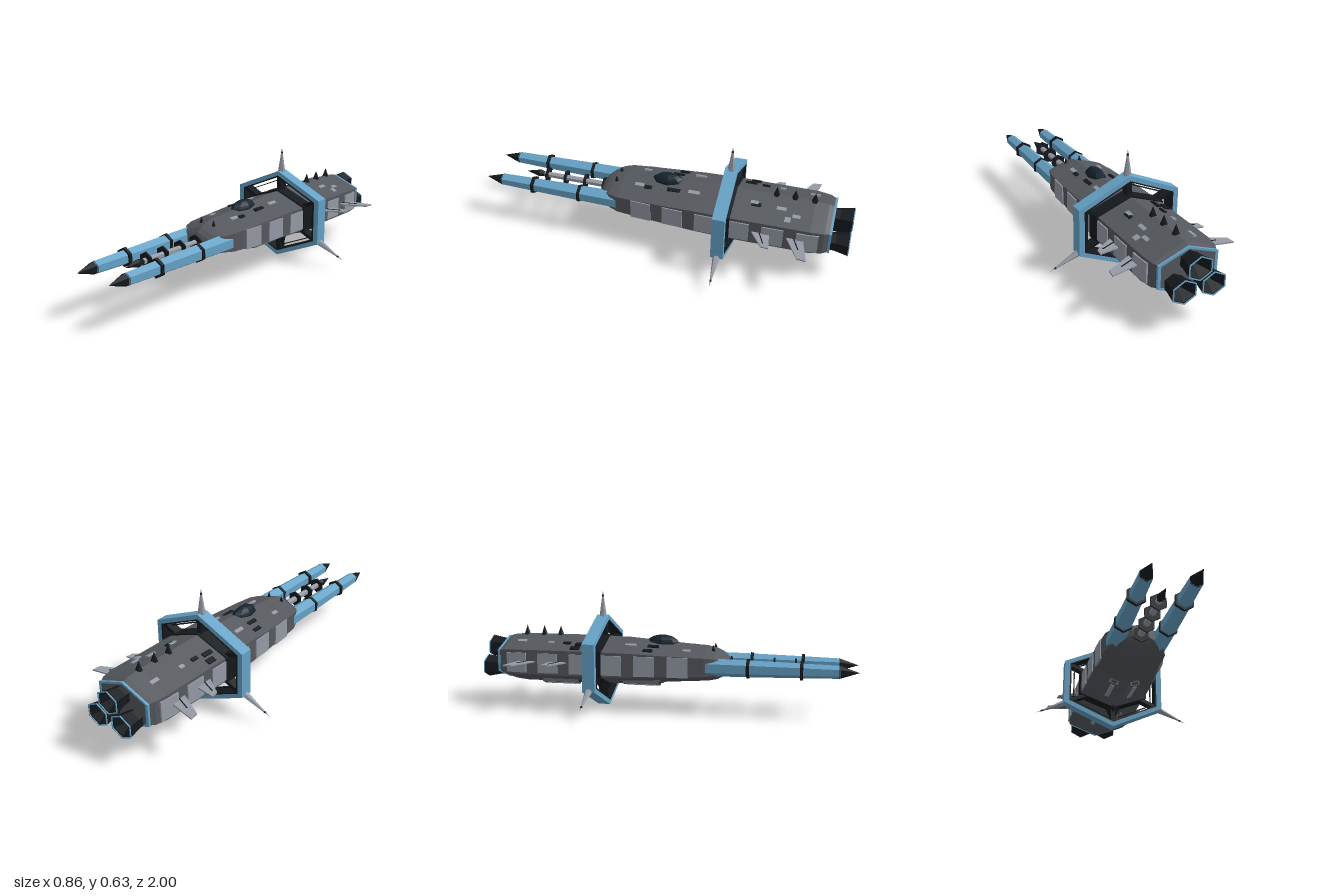
import * as THREE from 'three';

const mat = (color) => new THREE.MeshStandardMaterial({ color, flatShading: true, side: THREE.DoubleSide });
const HULL = mat(0x55585e), BLUE = mat(0x66a3c7), DARK = mat(0x15191d), GREY = mat(0x949aa5), GLASS = mat(0x14242f);
const CY = 0.253;

// hull radius along z, back to front
const PROFILE = [[-0.905, 0.172], [-0.87, 0.194], [-0.8, 0.206], [-0.4, 0.208], [-0.2, 0.203], [0, 0.194],
  [0.12, 0.187], [0.22, 0.178], [0.27, 0.158], [0.305, 0.128], [0.328, 0.09], [0.342, 0.045]];
const squash = (z) => 0.64 - 0.1 * THREE.MathUtils.smoothstep(z, -0.3, 0.2);
function hullRadius(z) {
  const i = Math.max(1, PROFILE.findIndex((p) => p[0] >= z));
  const [a, b] = [PROFILE[i - 1], PROFILE[i]];
  return a[1] + (b[1] - a[1]) * (z - a[0]) / (b[0] - a[0]);
}
// height of the upper (side 1) or lower (side -1) facet
function facetY(x, z, side = 1) {
  const r = hullRadius(z);
  return CY + side * squash(z) * (r - Math.abs(x) / 1.732);
}
const facetTilt = (z) => Math.atan(squash(z) / 1.732);

function add(parent, name, geo, material, x = 0, y = 0, z = 0) {
  const m = new THREE.Mesh(geo, material);
  m.name = name;
  m.position.set(x, y, z);
  parent.add(m);
  return m;
}
// six-sided turned body along z from [z, radius] pairs, back to front
function hexBody(points) {
  return new THREE.LatheGeometry(points.map(([z, r]) => new THREE.Vector2(r, z)), 6).rotateX(Math.PI / 2);
}
function hexPath(path, r) {
  for (let i = 0; i < 6; i++) {
    const a = Math.PI / 2 + i * Math.PI / 3;
    path[i ? 'lineTo' : 'moveTo'](r * Math.cos(a), r * Math.sin(a));
  }
  path.closePath();
  return path;
}
function hexFrame(outer, inner, depth) {
  const s = hexPath(new THREE.Shape(), outer);
  s.holes.push(hexPath(new THREE.Path(), inner));
  return new THREE.ExtrudeGeometry(s, { depth, bevelEnabled: false }).translate(0, 0, -depth / 2);
}
const box = (w, h, d) => new THREE.BoxGeometry(w, h, d);

function buildHull(g) {
  const geo = hexBody([[-0.905, 0], ...PROFILE, [0.342, 0]]);
  const p = geo.attributes.position;
  for (let i = 0; i < p.count; i++) p.setY(i, p.getY(i) * squash(p.getZ(i)));
  add(g, 'hull', geo, HULL, 0, CY, 0);
  add(g, 'rearTrim', hexFrame(0.183, 0.165, 0.012), BLUE, 0, CY, -0.9).scale.y = 0.64;
  add(g, 'ringCollar', hexFrame(0.219, 0.19, 0.076), DARK, 0, CY, -0.357).scale.y = 0.64;

  // canopy, elongated dome
  const canopy = new THREE.SphereGeometry(1, 8, 6, 0, Math.PI * 2, 0, Math.PI / 2);
  add(g, 'canopy', canopy, GLASS, 0, 0.348, -0.025).scale.set(0.045, 0.05, 0.09);

  for (const z of [-0.6, -0.695, -0.795])
    add(g, 'dorsalSpike', new THREE.ConeGeometry(0.02, 0.055, 6), DARK, 0, facetY(0, z) + 0.018, z);

  for (const s of [-1, 1]) {
    add(g, 'noseSpike', new THREE.ConeGeometry(0.012, 0.035, 6), DARK, s * 0.042, facetY(0.042, 0.255) + 0.012, 0.255);
    // side panels follow the hull flank
    for (let i = 0; i < 6; i++) {
      const z = 0.085 - i * 0.175;
      const slope = (hullRadius(z + 0.05) - hullRadius(z - 0.05)) * 8.66;
      const m = add(g, 'sidePanel', box(0.012, 0.105, 0.11), GREY, s * hullRadius(z) * 0.866, CY - 0.003, z);
      m.rotation.y = s * Math.atan(slope);
    }
    // belly pods
    for (const z of [-0.13, -0.58]) {
      const pod = new THREE.Group();
      pod.name = 'bellyPod';
      pod.position.set(s * 0.057, facetY(0.057, z, -1) - 0.005, z);
      pod.rotation.z = s * facetTilt(z);
      add(pod, 'podBody', box(0.05, 0.024, 0.2), HULL);
      add(pod, 'podFace', box(0.03, 0.012, 0.208), DARK);
      add(pod, 'podRail', box(0.024, 0.03, 0.16), GREY);
      g.add(pod);
    }
  }
}

// small plates scattered on the upper facets: x, z, width, length, dark
const PLATES = [[-0.15, -0.47, 0.03, 0.05, 1], [-0.11, -0.45, 0.025, 0.06, 1], [-0.1, -0.53, 0.02, 0.04, 1],
  [0.08, -0.51, 0.02, 0.05, 1], [-0.08, -0.06, 0.02, 0.06, 1], [0.07, -0.07, 0.02, 0.07, 1], [-0.1, -0.62, 0.02, 0.03, 0],
  [-0.09, -0.79, 0.02, 0.05, 0], [0.08, -0.64, 0.02, 0.05, 0], [0.07, -0.5, 0.02, 0.04, 0], [0.135, -0.68, 0.03, 0.03, 0],
  [0.11, -0.72, 0.02, 0.04, 0], [-0.09, -0.18, 0.02, 0.06, 0], [0.07, -0.18, 0.02, 0.06, 0], [0.06, 0.12, 0.02, 0.05, 0],
  [-0.095, 0.12, 0.02, 0.04, 0], [0.07, 0.07, 0.02, 0.04, 1], [-0.13, -0.08, 0.02, 0.05, 1]];
function buildPlates(g) {
  for (const [x, z, w, l, dark] of PLATES) {
    const m = add(g, 'hullPlate', box(w, 0.014, l), dark ? DARK : GREY, x, facetY(x, z), z);
    m.rotation.z = -Math.sign(x) * facetTilt(z);
  }
}

function buildRing(g) {
  const ring = new THREE.Group();
  ring.name = 'hexRing';
  ring.position.set(0, 0.25, -0.357);
  ring.scale.y = 0.766;
  g.add(ring);
  add(ring, 'ringBand', hexFrame(0.324, 0.288, 0.066), BLUE);
  add(ring, 'ringLining', hexFrame(0.29, 0.281, 0.07), DARK);
  add(ring, 'innerFrame', hexFrame(0.26, 0.254, 0.012), DARK);
  for (let i = 0; i < 6; i++) {
    const arm = new THREE.Group();
    arm.name = 'ringArm';
    arm.rotation.z = i * Math.PI / 3;
    add(arm, 'strut', box(0.024, 0.15, 0.05), DARK, 0, 0.215, 0);
    // long needle on every second corner
    if (i % 2 === 0) {
      add(arm, 'needle', new THREE.ConeGeometry(0.021, 0.185, 6), GREY, 0, 0.402, 0);
      add(arm, 'needleBand', new THREE.CylinderGeometry(0.005, 0.006, 0.012, 6), DARK, 0, 0.458, 0);
    }
    if (i === 3) add(arm, 'keelStrut', new THREE.ConeGeometry(0.055, 0.15, 4), DARK, 0, 0.21, 0);
    ring.add(arm);
  }
}

function buildCannons(g) {
  for (const s of [-1, 1]) {
    const c = new THREE.Group();
    c.name = 'cannon';
    c.position.set(s * 0.111, 0.25, 0);
    add(c, 'cannonBarrel', hexBody([[0.2, 0], [0.2, 0.047], [0.44, 0.044], [0.715, 0.038], [0.905, 0.033], [0.905, 0]]), BLUE);
    add(c, 'cannonTip', hexBody([[0.9, 0], [0.9, 0.034], [1, 0]]), DARK);
    for (const z of [0.445, 0.715])
      add(c, 'cannonBand', hexBody([[-0.008, 0], [-0.008, 0.05], [0.008, 0.05], [0.008, 0]]), DARK, 0, 0, z);
    g.add(c);
  }
  const c = new THREE.Group();
  c.name = 'centreBarrel';
  c.position.y = 0.25;
  add(c, 'barrel', hexBody([[0.3, 0.018], [0.7, 0.016], [0.7, 0]]), GREY);
  for (const z of [0.345, 0.455, 0.57, 0.68])
    add(c, 'barrelRing', hexBody([[-0.004, 0], [-0.004, 0.044], [0.004, 0.044], [0.004, 0]]), DARK, 0, 0, z);
  add(c, 'barrelTip', hexBody([[0.69, 0.01], [0.73, 0.021], [0.81, 0]]), DARK);
  g.add(c);
}

function buildEngines(g) {
  for (const [x, y] of [[0, 0.308], [-0.077, 0.21], [0.077, 0.21]]) {
    const e = new THREE.Group();
    e.name = 'engine';
    e.position.set(x, y, 0);
    e.scale.y = 0.88;
    add(e, 'nozzle', hexBody([[-0.925, 0], [-0.995, 0.06], [-0.997, 0.069], [-0.93, 0.054], [-0.88, 0.05]]), DARK);
    add(e, 'nozzleRim', hexFrame(0.07, 0.064, 0.005), BLUE, 0, 0, -0.9975);
    g.add(e);
  }
}

function buildFins(g) {
  // plan outline of each fin as [x, z]
  const fins = [[[0.165, -0.77], [0.325, -0.805], [0.32, -0.76], [0.165, -0.68]],
    [[0.165, -0.6], [0.285, -0.615], [0.28, -0.575], [0.165, -0.5]]];
  for (const s of [-1, 1]) for (const pts of fins) {
    const shape = new THREE.Shape(pts.map(([x, z]) => new THREE.Vector2(s * x, -z)));
    const geo = new THREE.ExtrudeGeometry(shape, { depth: 0.007, bevelEnabled: false }).rotateX(-Math.PI / 2);
    add(g, 'sideFin', geo, GREY, 0, CY, 0);
    const rib = add(g, 'finRib', box(0.09, 0.012, 0.005), DARK, s * 0.215, CY + 0.0035, (pts[0][1] + pts[3][1]) / 2 - 0.015);
    rib.rotation.y = s * 0.4;
  }
}

export function createModel() {
  const model = new THREE.Group();
  model.name = 'spaceship';
  const ship = new THREE.Group();
  ship.name = 'ship';
  ship.position.x = 0.005;
  model.add(ship);
  for (const build of [buildHull, buildPlates, buildRing, buildCannons, buildEngines, buildFins]) build(ship);
  return model;
}
